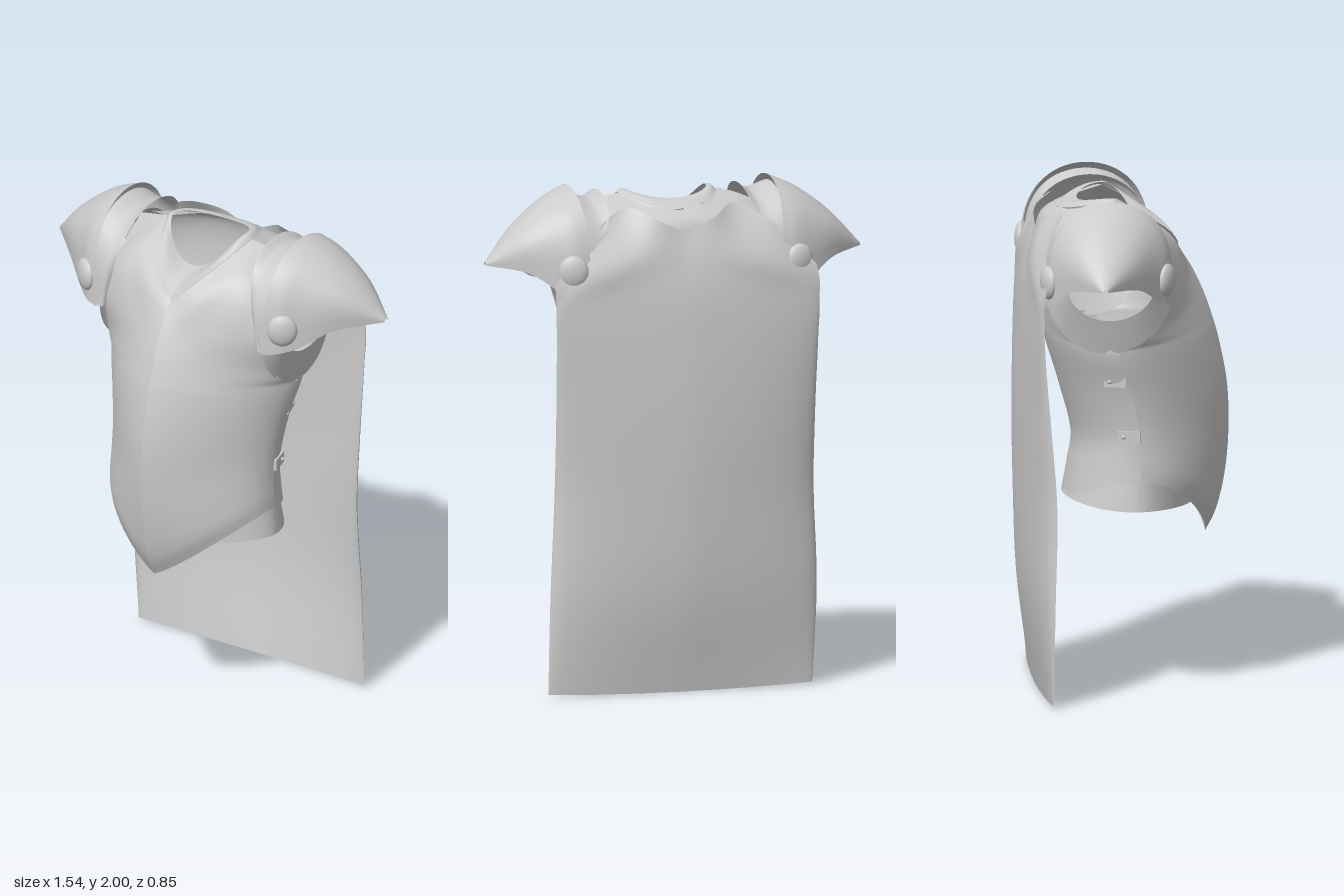
import * as THREE from 'three';

const V = (x, y, z) => new THREE.Vector3(x, y, z);
const mat = new THREE.MeshStandardMaterial({ color: 0xcccccc, side: THREE.DoubleSide, roughness: 0.7 });
const N = 18; // points in each half row

function add(parent, name, geometry) {
  const m = new THREE.Mesh(geometry, mat);
  m.name = name;
  parent.add(m);
  return m;
}

// Smooth skin through rows of equal length, refined along the columns
function loft(rows, steps = 28) {
  const cols = rows[0].length, pos = [], idx = [];
  const lines = rows[0].map((_, j) => new THREE.CatmullRomCurve3(rows.map(r => r[j]), false, 'centripetal').getPoints(steps));
  for (let i = 0; i <= steps; i++) for (let j = 0; j < cols; j++) pos.push(...lines[j][i].toArray());
  for (let i = 0; i < steps; i++) for (let j = 0; j < cols - 1; j++) {
    const a = i * cols + j, b = a + 1, c = a + cols, d = c + 1;
    idx.push(a, b, d, a, d, c);
  }
  const g = new THREE.BufferGeometry();
  g.setAttribute('position', new THREE.Float32BufferAttribute(pos, 3));
  g.setIndex(idx);
  g.computeVertexNormals();
  return g;
}

const mirror = row => row.map(p => V(-p.x, p.y, p.z)).reverse();
const whole = row => [...mirror(row), ...row.slice(1)];
const curveRow = pts => new THREE.CatmullRomCurve3(pts.map(p => V(...p)), false, 'centripetal').getPoints(N);

// Half a body section, from the centre line to the side; ridge 0 = round, 1 = wedge;
// cut below 1 stops it short of the side
function section([yC, zC, w, yS, zS, cut = 1], ridge, yPow) {
  return Array.from({ length: N + 1 }, (_, i) => {
    const a = (i / N) * cut * Math.PI / 2, s = Math.sin(a);
    const k = ridge * (1 - s) + (1 - ridge) * Math.cos(a);
    return V(s * w, yC + (yS - yC) * s ** yPow, zS + (zC - zS) * k);
  });
}

// Front neckline from the centre (t = 0) to the shoulder (t = 1)
const neckline = t => V(0.2 * t, 1.74 + 0.21 * t ** 1.2, 0.22 - 0.27 * t ** 2.1);

function torso(root) {
  // Breastplate: two halves meeting in a centre ridge
  const ridges = [0.12, 0.2, 0.35, 0.47, 0.47, 0.4, 0.42, 0.45, 0.47];
  const front = [
    [0.60, 0.335, 0.365, 0.87, 0.04], [0.68, 0.375, 0.365, 0.92, 0.04], [0.82, 0.41, 0.362, 1.0, 0.04],
    [1.0, 0.427, 0.366, 1.1, 0.03], [1.2, 0.42, 0.385, 1.23, 0.0], [1.4, 0.38, 0.42, 1.39, -0.05],
    [1.46, 0.362, 0.435, 1.43, -0.05, 0.78], [1.54, 0.335, 0.465, 1.49, -0.05, 0.62], [1.65, 0.285, 0.485, 1.61, 0.02, 0.53],
  ].map((p, i) => section(p, ridges[i], 1.15));
  front.push(curveRow([[0, 1.71, 0.247], [0.12, 1.77, 0.21], [0.22, 1.83, 0.14], [0.29, 1.81, 0.125], [0.345, 1.77, 0.11]]));
  const shoulderEnd = V(0.36, 1.9, -0.1);
  front.push(Array.from({ length: N + 1 }, (_, i) =>
    i <= 11 ? neckline(i / 11) : neckline(1).lerp(shoulderEnd, (i - 11) / (N - 11))));
  const chest = new THREE.Group();
  chest.name = 'breastplate';
  root.add(chest);
  add(chest, 'breastplateLeft', loft(front, 44));
  add(chest, 'breastplateRight', loft(front.map(mirror), 44));

  // Backplate
  const back = [
    [0.77, -0.228, 0.365, 0.87, 0.04], [0.88, -0.208, 0.36, 0.95, 0.04], [1.0, -0.192, 0.36, 1.05, 0.04],
    [1.2, -0.24, 0.378, 1.23, 0.0], [1.4, -0.3, 0.41, 1.39, -0.05], [1.46, -0.31, 0.43, 1.42, -0.05, 0.7],
    [1.54, -0.322, 0.45, 1.48, -0.08, 0.6], [1.66, -0.335, 0.45, 1.62, -0.15, 0.55], [1.8, -0.33, 0.42, 1.77, -0.17, 0.6],
    [1.875, -0.3, 0.42, 1.84, -0.11, 0.6],
  ].map(p => section(p, 0, 2));
  back.push(curveRow([[0, 1.905, -0.25], [0.12, 1.92, -0.2], [0.2, 1.95, -0.05], [0.29, 1.93, -0.08], [0.36, 1.9, -0.1]]));
  add(root, 'backplate', loft(back.map(r => whole(r).reverse()), 44));

  // Short waist skirt under the plates
  const skirt = [[0.73, 0.3, 0.366, 0.75, 0.03, -0.23, 0.77], [0.93, 0.29, 0.345, 0.93, 0.03, -0.18, 0.93]];
  add(root, 'waistSkirtFront', loft(skirt.map(([yF, zF, w, yS, zS]) => whole(section([yF, zF, w, yS, zS], 0.4, 1.5))), 4));
  add(root, 'waistSkirtBack', loft(skirt.map(([, , w, yS, zS, zB, yB]) => whole(section([yB, zB, w, yS, zS], 0, 2)).reverse()), 4));
}

// Band between closed loops given as functions of an angle
function ring(...loops) {
  return loft(loops.map(f => Array.from({ length: 49 }, (_, i) => f((i / 48) * Math.PI * 2))), 8);
}

function collar(root) {
  // V-shaped neck band, from just above the plate edge up to the round opening
  const outer = a => {
    const f = Math.cos(a), s = Math.sin(a);
    if (f < 0) return V(0.2 * s, 1.954 - 0.045 * f * f, -0.05 + 0.2 * f);
    const p = neckline(Math.abs(s)).add(V(0, 0.004, 0.008 * f));
    return s < 0 ? p.setX(-p.x) : p;
  };
  const inner = a => {
    const f = Math.cos(a);
    return V(0.167 * Math.sin(a), 1.967 - (f > 0 ? 0.135 : 0.027) * f * f, -0.05 + 0.12 * f);
  };
  const mid = a => outer(a).lerp(inner(a), 0.5).add(V(0, 0.008, 0));
  add(root, 'collar', ring(outer, mid, inner));
}

// Arched shoulder shell from stations [xTop, xBottom, yTop, yBottom, zFront, zBack]
function arch(stations) {
  return loft(stations.map(([xT, xB, yT, yB, zF, zB]) => Array.from({ length: 33 }, (_, i) => {
    const a = (i / 32) * Math.PI, k = Math.max(0, Math.sin(a)) ** 0.58;
    return V(xB + (xT - xB) * k, yB + (yT - yB) * k, (zF + zB) / 2 + (zF - zB) / 2 * Math.cos(a));
  })), 20);
}

function shoulder(side) {
  const g = new THREE.Group();
  g.name = side > 0 ? 'leftShoulder' : 'rightShoulder';
  g.scale.x = side;
  // Pointed outer shell and the narrow plate inside it
  add(g, 'shoulderShell', arch([
    [0.41, 0.39, 2.0, 1.585, 0.165, -0.345], [0.46, 0.45, 1.98, 1.595, 0.145, -0.342], [0.52, 0.51, 1.95, 1.615, 0.1, -0.32],
    [0.64, 0.62, 1.86, 1.685, 0.01, -0.262], [0.77, 0.77, 1.72, 1.71, -0.135, -0.16],
  ]));
  add(g, 'innerShoulderPlate', arch([
    [0.285, 0.355, 1.975, 1.61, 0.145, -0.325], [0.33, 0.37, 1.95, 1.59, 0.162, -0.338], [0.42, 0.42, 1.975, 1.6, 0.15, -0.335],
  ]));
  // Round bosses, front and back
  for (const [z, turn] of [[0.13, 0.55], [-0.335, Math.PI - 0.25]]) {
    const boss = add(g, z > 0 ? 'frontBoss' : 'backBoss', new THREE.SphereGeometry(1, 24, 14));
    boss.scale.set(0.06, 0.066, 0.028);
    boss.position.set(0.465, 1.695, z);
    boss.rotation.y = turn;
  }
  // Armhole lining
  const loop = (x, y, ry, rz, lean) => a => V(x - lean * Math.cos(a), y - ry * Math.cos(a), -0.085 + rz * Math.sin(a));
  add(g, 'armholeLining', ring(loop(0.375, 1.65, 0.26, 0.25, -0.025), loop(0.42, 1.66, 0.19, 0.205, 0.0), loop(0.45, 1.68, 0.15, 0.175, 0.015)));
  // Side straps with studs, lying along the backplate
  for (const [x, y, z, turn] of [[0.367, 1.275, -0.06, 0.36], [0.352, 1.05, -0.005, 0.28]]) {
    const strap = new THREE.Group();
    strap.name = 'strap';
    strap.position.set(x, y, z);
    strap.rotation.y = turn;
    add(strap, 'strapBand', new THREE.BoxGeometry(0.02, 0.045, 0.09));
    add(strap, 'strapStud', new THREE.SphereGeometry(0.009, 10, 8)).position.set(0.011, 0, -0.02);
    g.add(strap);
  }
  return g;
}

function cape(root) {
  const rows = [
    [0.005, -0.335, 0.54, 0.015, -0.312], [0.4, -0.4, 0.545, 0.4, -0.308], [0.8, -0.42, 0.53, 0.8, -0.3],
    [1.1, -0.422, 0.53, 1.1, -0.322], [1.4, -0.41, 0.535, 1.38, -0.345], [1.6, -0.393, 0.538, 1.54, -0.352],
  ].map(p => section(p, 0.2, 2));
  rows.push(curveRow([[0, 1.73, -0.365], [0.18, 1.74, -0.37], [0.36, 1.71, -0.366], [0.54, 1.62, -0.35]]));
  rows.push(curveRow([[0, 1.825, -0.335], [0.12, 1.885, -0.325], [0.22, 1.925, -0.25], [0.36, 1.85, -0.3], [0.53, 1.68, -0.342]]));
  // A slight sway to one side towards the hem, and a slight turn
  const sway = p => V(p.x + 0.02 * Math.max(0, 1 - p.y / 0.5), p.y, p.z + 0.015 * p.x);
  add(root, 'cape', loft(rows.map(r => whole(r).map(sway).reverse()), 40));
}

export function createModel() {
  const root = new THREE.Group();
  root.name = 'armourWithCape';
  torso(root);
  collar(root);
  cape(root);
  for (const side of [1, -1]) root.add(shoulder(side));
  return root;
}
